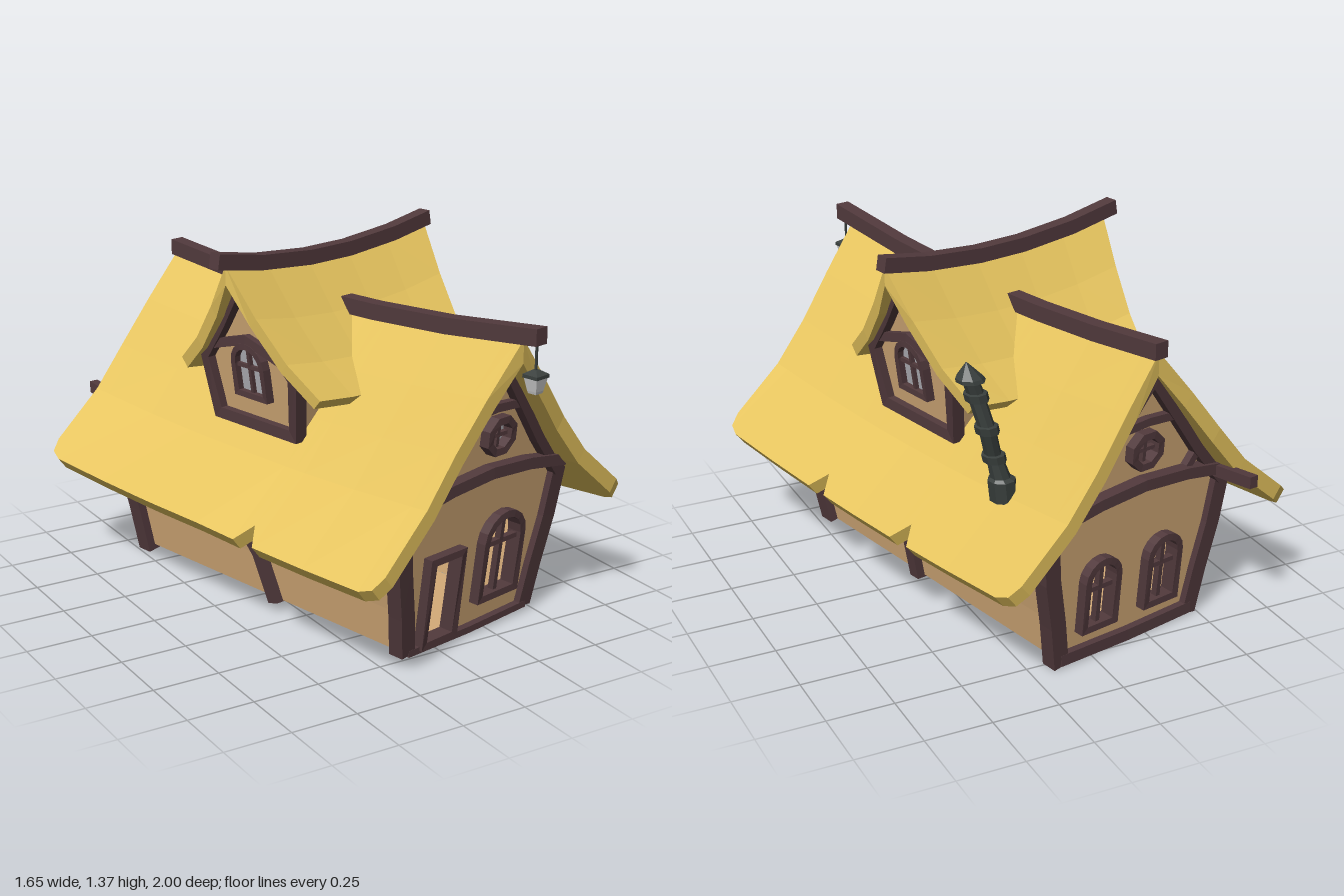
import * as THREE from 'three';

const mat = (color, side = THREE.FrontSide) =>
  new THREE.MeshStandardMaterial({ color, side, flatShading: true, roughness: 0.9 });
const straw = mat(0xe6c45e), timber = mat(0x523a3d), iron = mat(0x3a403e);
const plaster = mat(0xd4ab78, THREE.DoubleSide), glass = mat(0xb4b4ba, THREE.DoubleSide), pale = mat(0xbcbcbc);
const V = (x, y, z) => new THREE.Vector3(x, y, z);

// Piecewise-linear lookup through [x, y] pairs
function lerpTable(t, x) {
  let i = 1;
  while (i < t.length - 1 && x > t[i][0]) i++;
  const [a, b] = [t[i - 1], t[i]];
  return a[1] + (b[1] - a[1]) * (x - a[0]) / (b[0] - a[0]);
}

// Closed solid through equal cross-sections, capped with strips of quads
function loft(name, rings, material, parent) {
  const p = [], n = rings[0].length;
  const quad = (a, b, c, d) => { for (const v of [a, b, c, a, c, d]) p.push(v.x, v.y, v.z); };
  for (let i = 0; i + 1 < rings.length; i++)
    for (let j = 0; j < n; j++) {
      const k = (j + 1) % n;
      quad(rings[i][j], rings[i][k], rings[i + 1][k], rings[i + 1][j]);
    }
  const A = rings[0], Z = rings[rings.length - 1];
  for (let j = 0; j < n / 2 - 1; j++) {
    quad(A[j], A[n - 1 - j], A[n - 2 - j], A[j + 1]);
    quad(Z[j], Z[j + 1], Z[n - 2 - j], Z[n - 1 - j]);
  }
  // turn all faces outward
  let vol = 0;
  for (let i = 0; i < p.length; i += 9)
    vol += V(p[i], p[i + 1], p[i + 2]).dot(V(p[i + 3], p[i + 4], p[i + 5]).cross(V(p[i + 6], p[i + 7], p[i + 8])));
  if (vol < 0) for (let i = 0; i < p.length; i += 9)
    for (let k = 3; k < 6; k++) [p[i + k], p[i + k + 3]] = [p[i + k + 3], p[i + k]];
  const g = new THREE.BufferGeometry();
  g.setAttribute('position', new THREE.Float32BufferAttribute(p, 3));
  g.computeVertexNormals();
  return add(name, g, material, parent);
}

function add(name, geometry, material, parent) {
  const m = new THREE.Mesh(geometry, material);
  m.name = name;
  parent.add(m);
  return m;
}

// Mitred timber along a path; n is the direction of its depth
function beam(name, pts, w, d, n, parent) {
  const last = pts.length - 1, closed = pts[0].distanceTo(pts[last]) < 1e-6;
  const dir = (a, b) => b.clone().sub(a).normalize();
  const rings = pts.map((p, i) => {
    const before = i > 0 ? dir(pts[i - 1], p) : closed ? dir(pts[last - 1], p) : dir(p, pts[1]);
    const after = i < last ? dir(p, pts[i + 1]) : closed ? dir(p, pts[1]) : before;
    const t = before.clone().add(after).normalize();
    const b = t.clone().cross(n).normalize().multiplyScalar(w / 2 / Math.max(0.5, t.dot(after)));
    const o = n.clone().multiplyScalar(d / 2);
    return [[1, 1], [1, -1], [-1, -1], [-1, 1]].map(([s, q]) => p.clone().addScaledVector(b, s).addScaledVector(o, q));
  });
  return loft(name, rings, timber, parent);
}

// Stack of many-sided rings [x, y, z, radius]
const turned = (name, list, sides, material, parent) =>
  loft(name, list.map(([x, y, z, r]) => Array.from({ length: sides }, (_, i) => {
    const a = (i + 0.5) / sides * Math.PI * 2;
    return V(x + r * Math.cos(a), y, z + r * Math.sin(a));
  })), material, parent);

// Outlines of openings as closed [x, y] loops
const arch = (cx, y0, hw, y1) => {
  const p = [[cx - hw, y0]];
  for (let i = 0; i <= 8; i++) {
    const a = Math.PI * (1 - i / 8);
    p.push([cx + hw * Math.cos(a), y1 - hw + hw * Math.sin(a)]);
  }
  return [...p, [cx + hw, y0], [cx - hw, y0]];
};
const round = (cx, cy, r) => Array.from({ length: 9 }, (_, i) =>
  [cx + r * Math.cos((i + 0.5) * Math.PI / 4), cy + r * Math.sin((i + 0.5) * Math.PI / 4)]);
const shapeOf = pts => new THREE.Shape(pts.map(p => new THREE.Vector2(...p)));

// Leaning, flaring walls
const halfWidth = y => lerpTable([[0, 0.305], [0.18, 0.335], [0.37, 0.375], [0.6, 0.402]], y);
const wallZ = (s, y) => s > 0 ? 0.69 + 0.13 * y : -0.72 - 0.09 * y;
const dormerX = y => 0.34 + 0.15 * (y - 0.71);

function gable(s, house) {
  const g = new THREE.Group();
  g.name = s > 0 ? 'frontWall' : 'backWall';
  house.add(g);
  const n = V(0, 0, s);
  const at = (pts, off = 0.01) => pts.map(([x, y]) => V(x, y, wallZ(s, y) + s * off));
  const bar = (name, pts, w, d = 0.04, off = 0.01) => beam(name, at(pts, off), w, d, n, g);
  const half = [[0.305, 0.02], [0.335, 0.18], [0.375, 0.37], [0.395, 0.56], [0.25, 0.75], [0.12, 0.92]];
  const shape = shapeOf([...half, [0, 1.08], ...half.slice().reverse().map(([x, y]) => [-x, y])]);
  const windows = s > 0 ? [arch(0.125, 0.13, 0.095, 0.45)] : [arch(0.15, 0.12, 0.07, 0.385), arch(-0.14, 0.12, 0.07, 0.385)];
  const rx = s > 0 ? 0.03 : 0, porthole = round(rx, 0.775, 0.063);
  const door = [[-0.245, 0.035], [-0.245, 0.365], [-0.09, 0.365], [-0.09, 0.035], [-0.245, 0.035]];
  const openings = [...windows, porthole, ...(s > 0 ? [door] : [])];
  shape.holes = openings.map(o => new THREE.Path(o.map(p => new THREE.Vector2(...p))));
  const flat = geo => {
    const p = geo.attributes.position;
    for (let i = 0; i < p.count; i++) p.setZ(i, wallZ(s, p.getY(i)));
    geo.computeVertexNormals();
    return geo;
  };
  add('plaster', flat(new THREE.ShapeGeometry(shape)), plaster, g);
  for (const o of openings) bar(o === door ? 'doorFrame' : 'windowFrame', o, 0.026, 0.06);
  for (const o of windows) {
    const x0 = o[0][0], x1 = o[9][0], c = (x0 + x1) / 2, top = o[5][1];
    bar('mullion', [[c, 0.12], [c, top]], 0.018, 0.025);
    bar('transom', [[x0, top - 0.11], [x1, top - 0.11]], 0.018, 0.025);
  }
  bar('mullion', [[rx, 0.715], [rx, 0.835]], 0.014, 0.02);
  bar('transom', [[rx - 0.06, 0.775], [rx + 0.06, 0.775]], 0.014, 0.02);
  if (s > 0) add('roundGlass', flat(new THREE.ShapeGeometry(shapeOf(porthole))), glass, g);
  // timber framing
  bar('crossBeam', [[-0.4, 0.595], [-0.2, 0.63], [0, 0.645], [0.2, 0.63], [0.4, 0.595]], 0.042, 0.06, 0.02);
  bar('collarBeam', [[-0.14, 0.875], [0, 0.885], [0.14, 0.875]], 0.03);
  bar('brace', [[-0.265, 0.715], [-0.215, 0.645]], 0.028);
  for (const m of [-1, 1])
    bar('rakeBeam', [[0.385, 0.55], [0.25, 0.71], [0.12, 0.885], [0, 1.045]].map(([x, y]) => [m * x, y]), 0.04, 0.05);
  bar('sill', [[-0.31, 0.025], [0, 0.018], [0.31, 0.025]], s > 0 ? 0.025 : 0.045);
  for (const m of [-1, 1])
    bar('cornerPost', [s > 0 ? 0.02 : 0, 0.18, 0.37, 0.57].map(y => [m * halfWidth(y), y]), 0.065, 0.065, -0.005);
}

function dormer(house) {
  const g = new THREE.Group();
  g.name = 'dormer';
  house.add(g);
  // body running through the roof
  const side = [[0.2, 0.71], [0.235, 0.93], [0.12, 1.07], [0, 1.23]];
  const outline = [...side, ...side.slice().reverse().map(([z, y]) => [-z, y])];
  loft('dormerBody', [-1, 1].map(s => outline.map(([z, y]) => V(s * dormerX(y), y, z))), plaster, g);
  for (const s of [-1, 1]) {
    const at = (pts, off = 0.008) => pts.map(([z, y]) => V(s * (dormerX(y) + off), y, z));
    const bar = (name, pts, w, d = 0.04) => beam(name, at(pts), w, d, V(s, 0, 0), g);
    const frame = [...side, ...side.slice(0, 3).reverse().map(([z, y]) => [-z, y]), side[0]];
    bar('dormerFrame', frame, 0.042, 0.05);
    bar('dormerCollar', [[-0.21, 0.975], [0, 1.035], [0.21, 0.975]], 0.034);
    const win = arch(0, 0.82, 0.075, 1.01);
    bar('dormerWindowFrame', win, 0.022, 0.05);
    bar('mullion', [[0, 0.82], [0, 1.01]], 0.014, 0.03);
    bar('transom', [[-0.07, 0.93], [0.07, 0.93]], 0.014, 0.03);
    const pane = new THREE.ShapeGeometry(shapeOf(win)), p = pane.attributes.position;
    for (let i = 0; i < p.count; i++) p.setXYZ(i, s * (dormerX(p.getY(i)) + 0.008), p.getY(i), p.getX(i));
    pane.computeVertexNormals();
    add('dormerGlass', pane, glass, g);
  }
  // saddle roof, shorter along the eaves than along the ridge
  const D = [[0, 1.32], [0.12, 1.145], [0.24, 1.0], [0.37, 0.89]];
  const zs = [-0.37, -0.24, -0.12, 0, 0.12, 0.24, 0.37];
  loft('dormerRoof', [-0.5, -0.3, -0.1, 0.1, 0.3, 0.5].map(x => {
    const top = zs.map(z => {
      const a = Math.abs(z), k = a / 0.37;
      return V(x * (1 - 0.2 * k), lerpTable(D, a) - (0.055 - 0.025 * k) * (1 - (x / 0.5) ** 2), z);
    });
    const under = top.map(v => V(v.x, v.y - (v.z ? 0.035 : 0.07), Math.sign(v.z) * (Math.abs(v.z) - 0.03)));
    return [...top, ...under.reverse()];
  }), straw, g);
  beam('dormerRidge', [-0.54, -0.33, -0.1, 0.1, 0.33, 0.52].map(x => V(x, 1.283 + 0.2 * x * x, -0.01)), 0.055, 0.05, V(0, 0, 1), g);
}

function mainRoof(house) {
  const P = [[0, 1.15], [0.15, 0.97], [0.28, 0.805], [0.41, 0.65], [0.66, 0.44]];
  // eave distance with rounded corners and small notches
  const edge = (s, z) => {
    const a = Math.abs(z);
    if (a > 0.88) return 0.605;
    if (a > 0.86) return 0.645;
    return z === 0.25 || (s > 0 && z === -0.27) ? 0.6 : 0.66;
  };
  const zs = [-0.89, -0.87, -0.82, -0.55, -0.32, -0.27, -0.22, 0, 0.2, 0.25, 0.3, 0.55, 0.82, 0.87, 0.89];
  loft('thatchedRoof', zs.map(z => {
    const xs = [-edge(-1, z), -0.41, -0.28, -0.15, 0, 0.15, 0.28, 0.41, edge(1, z)];
    const top = xs.map(x => {
      const a = Math.abs(x), sag = (0.05 - 0.03 * a) * (1 - (z / 0.89) ** 2);
      const droop = x < 0 && z > 0 ? 0.04 * (x / 0.66) ** 2 * z : 0;
      const bow = Math.max(0, 1 - a / 0.3) * (z > 0 ? 0.05 : -0.03);
      return V(x, lerpTable(P, a) - sag - droop, z * (1 + bow));
    });
    const under = top.map(v => V(Math.sign(v.x) * Math.max(0, Math.abs(v.x) - 0.035), v.y - (v.x ? 0.045 : 0.085), v.z));
    return [...top, ...under.reverse()];
  }), straw, house);
  beam('ridgeBeam', [-0.875, -0.55, -0.25, 0, 0.25, 0.6, 1.01].map(z => V(0, 1.11 + 0.065 * Math.min(1, z * z), z)), 0.055, 0.06, V(0, 1, 0), house);
}

export function createModel() {
  const root = new THREE.Group();
  root.name = 'cottage';
  const house = new THREE.Group();
  house.name = 'house';
  house.rotation.y = 0.22;
  root.add(house);

  gable(1, house);
  gable(-1, house);

  // side walls and their crooked middle posts
  for (const s of [-1, 1]) {
    const geo = new THREE.PlaneGeometry(1, 1, 3, 4), p = geo.attributes.position;
    for (let i = 0; i < p.count; i++) {
      const y = lerpTable([[0, 0.02], [0.25, 0.18], [0.5, 0.37], [0.75, 0.47], [1, 0.56]], p.getY(i) + 0.5);
      const t = p.getX(i) * s + 0.5;
      p.setXYZ(i, s * halfWidth(y), y, wallZ(1, y) * (1 - t) + wallZ(-1, y) * t);
    }
    geo.computeVertexNormals();
    add('sideWall', geo, plaster, house);
    const lean = s > 0 ? [0.085, 0.09, 0.12, 0.16] : [0.05, 0, -0.06, -0.15];
    beam('middlePost', [0.01, 0.2, 0.3, 0.54].map((y, i) =>
      V(s * (halfWidth(y) + 0.008), y, lean[i])), 0.05, 0.05, V(s, 0, 0), house);
  }
  const floor = add('floor', new THREE.PlaneGeometry(0.61, 1.41), plaster, house);
  floor.rotation.x = -Math.PI / 2;
  floor.position.set(0, 0.021, -0.015);

  // projecting beam end at the back
  beam('beamEnd', [V(-0.355, 0.59, -0.74), V(-0.345, 0.62, -1.0)], 0.035, 0.045, V(0, 1, 0), house);

  mainRoof(house);
  dormer(house);

  // crooked stovepipe with collars and a pointed cap
  turned('chimney', [
    [0.405, 0.61, -0.545, 0.05], [0.415, 0.69, -0.545, 0.05], [0.42, 0.7, -0.545, 0.036], [0.435, 0.76, -0.538, 0.03],
    [0.438, 0.762, -0.538, 0.042], [0.445, 0.79, -0.537, 0.042], [0.447, 0.792, -0.537, 0.03], [0.475, 0.88, -0.548, 0.03],
    [0.476, 0.882, -0.548, 0.042], [0.483, 0.91, -0.547, 0.042], [0.484, 0.912, -0.547, 0.03], [0.505, 1.0, -0.53, 0.03],
    [0.506, 1.002, -0.53, 0.042], [0.513, 1.03, -0.528, 0.042], [0.514, 1.032, -0.528, 0.03], [0.53, 1.075, -0.526, 0.03],
    [0.53, 1.077, -0.526, 0.052], [0.535, 1.09, -0.525, 0.048], [0.546, 1.145, -0.524, 0.002]], 8, iron, house);

  // hanging lantern
  const lantern = new THREE.Group();
  lantern.name = 'lantern';
  lantern.position.set(0, -0.005, 0.99);
  house.add(lantern);
  turned('wire', [[0, 1.05, 0, 0.005], [0, 1.16, 0, 0.005]], 4, iron, lantern);
  turned('lanternCap', [[0, 1.035, 0, 0.045], [0, 1.047, 0, 0.045], [0, 1.062, 0, 0.012]], 4, iron, lantern);
  turned('lanternBody', [[0, 0.98, 0, 0.024], [0, 0.99, 0, 0.028], [0, 1.035, 0, 0.04]], 4, pale, lantern);
  return root;
}
